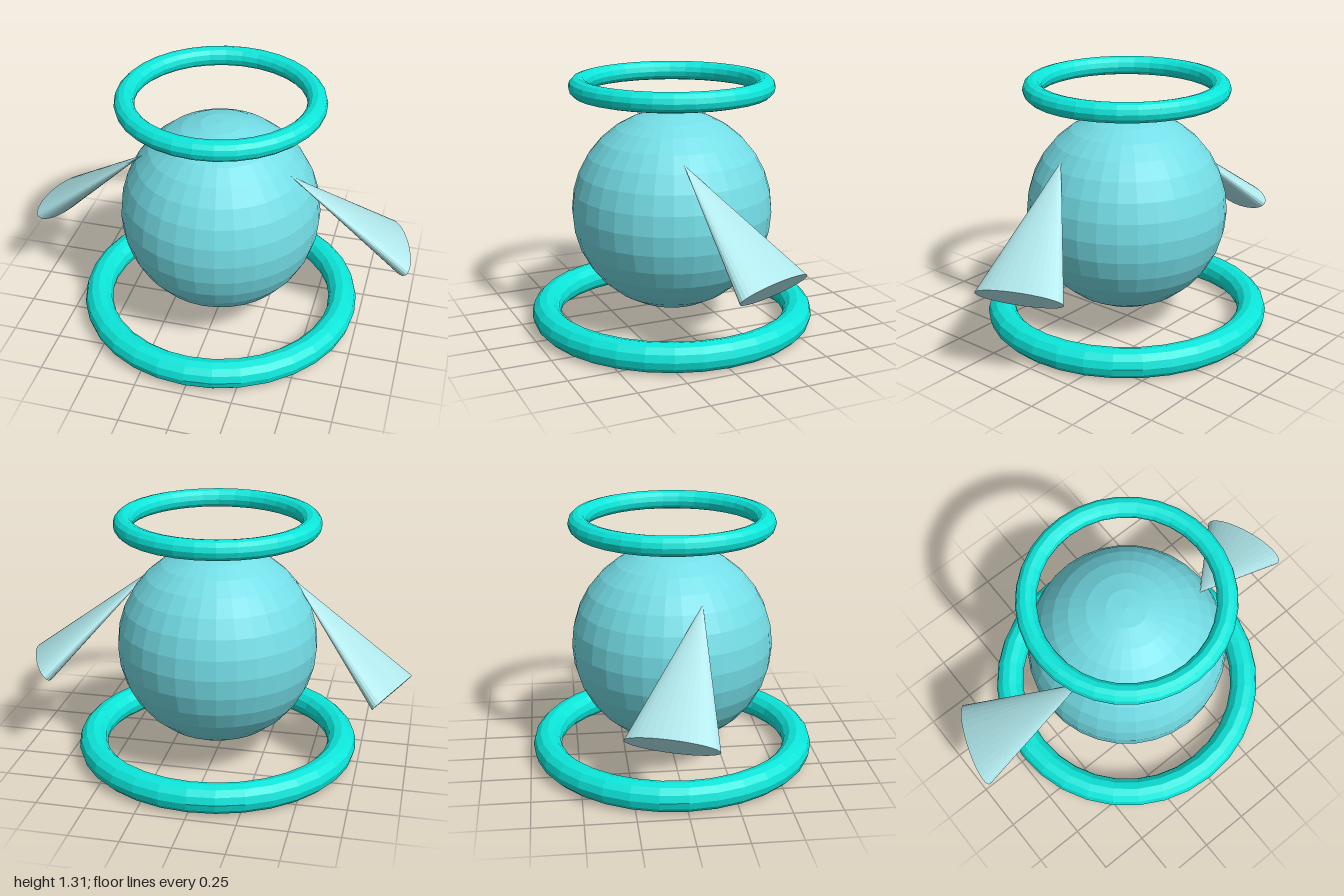
import * as THREE from 'three';

const material = (color) => new THREE.MeshStandardMaterial({ color, flatShading: true });

export function createModel() {
  const model = new THREE.Group();
  const bodyMat = material(0x74dde6);
  const ringMat = material(0x0ce6da);
  const wingMat = material(0xafe6ea);

  const add = (name, geometry, mat, y = 0) => {
    const mesh = new THREE.Mesh(geometry, mat);
    mesh.name = name;
    mesh.position.y = y;
    model.add(mesh);
  };

  // Round body
  add('body', new THREE.SphereGeometry(0.515, 32, 16), bodyMat, 0.62);

  // Horizontal rings: wide one at the base, smaller one floating overhead
  const ring = (radius, tube) => new THREE.TorusGeometry(radius, tube, 12, 32).rotateX(Math.PI / 2);
  add('baseRing', ring(0.66, 0.074), ringMat, 0.074);
  add('halo', ring(0.47, 0.05), ringMat, 1.26);

  // Flattened cone wings: a unit cone mapped onto its axis and two base half-axes
  const wing = (side) => {
    const apex = new THREE.Vector3(side * 0.38, 0.945, 0.105);
    const base = new THREE.Vector3(side * 0.914, 0.465, -0.105);
    const wide = new THREE.Vector3(side * 0.075, -0.005, 0.21);
    const thin = new THREE.Vector3(side * 0.043, 0.055, -0.014);
    const axis = apex.clone().sub(base);
    // Keep the basis right-handed so the faces point outward
    if (wide.clone().cross(axis).dot(thin) < 0) thin.negate();
    const map = new THREE.Matrix4().makeBasis(wide, axis, thin).setPosition(base);
    return new THREE.ConeGeometry(1, 1, 32).translate(0, 0.5, 0).applyMatrix4(map);
  };
  add('leftWing', wing(1), wingMat);
  add('rightWing', wing(-1), wingMat);

  return model;
}
